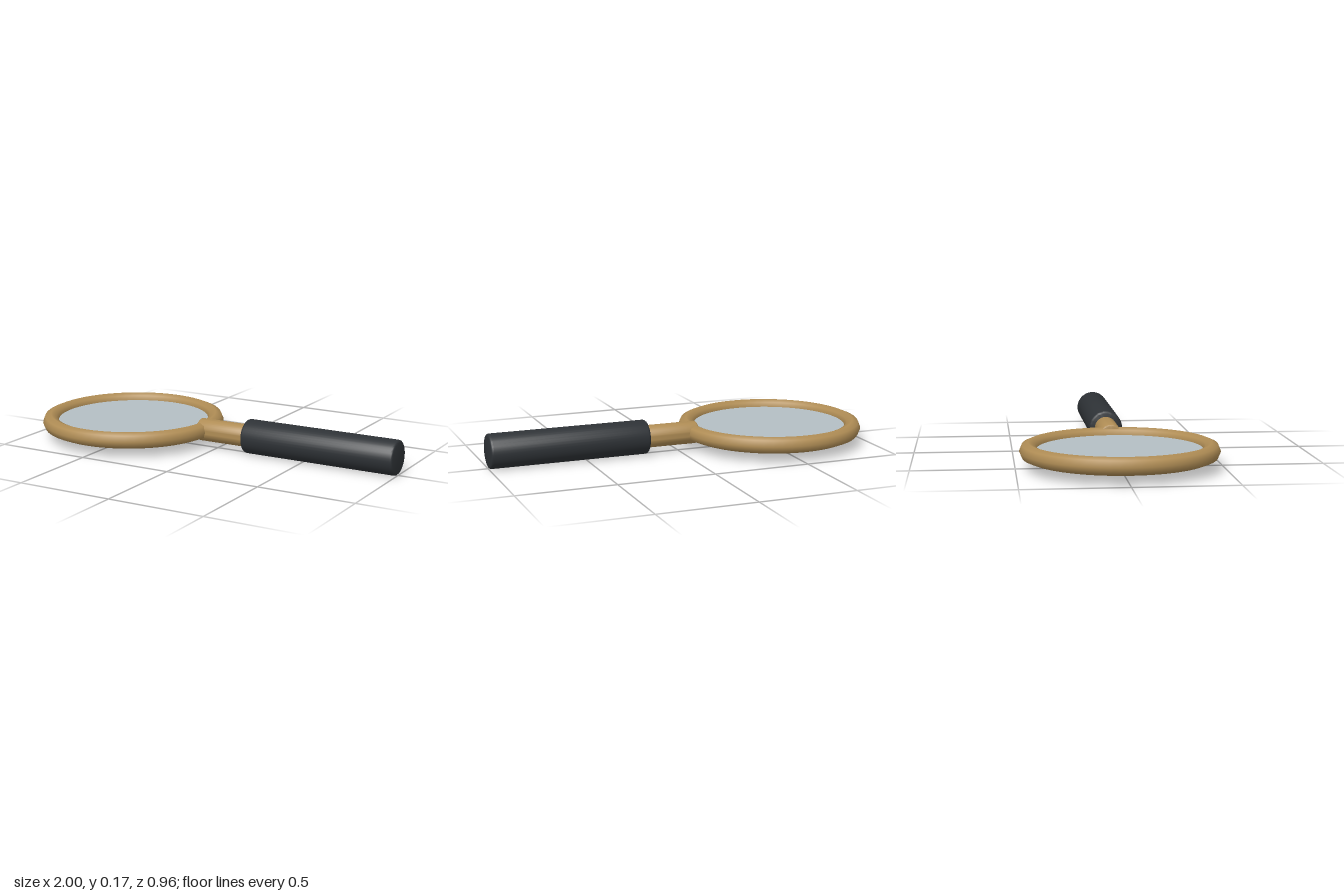
import * as THREE from 'three';
import { toCreasedNormals } from 'three/addons/utils/BufferGeometryUtils.js';

const AXIS_Y = 0.0875;
const LENS_X = -0.52;

const brass = new THREE.MeshStandardMaterial({ color: 0xb08d55 });
const grip = new THREE.MeshStandardMaterial({ color: 0x2e3236 });
const glass = new THREE.MeshStandardMaterial({ color: 0xb4bec4 });

// Round bar along x from x0 to x1 with small rounded edges at both ends
function roundBar(name, x0, x1, radius, bevel, material) {
  const length = x1 - x0;
  const profile = [new THREE.Vector2(0, 0)];
  for (let i = 0; i <= 3; i++) {
    const a = (i / 3) * Math.PI / 2;
    profile.push(new THREE.Vector2(radius - bevel + bevel * Math.sin(a), bevel - bevel * Math.cos(a)));
  }
  for (let i = 3; i >= 0; i--) {
    const a = (i / 3) * Math.PI / 2;
    profile.push(new THREE.Vector2(radius - bevel + bevel * Math.sin(a), length - bevel + bevel * Math.cos(a)));
  }
  profile.push(new THREE.Vector2(0, length));
  const geometry = toCreasedNormals(new THREE.LatheGeometry(profile, 40), 0.7);
  const mesh = new THREE.Mesh(geometry, material);
  mesh.name = name;
  mesh.rotation.z = -Math.PI / 2;
  mesh.position.set(x0, AXIS_Y, 0);
  return mesh;
}

export function createModel() {
  const model = new THREE.Group();
  model.name = 'magnifyingGlass';

  // Ring around the lens, lying flat
  const rim = new THREE.Mesh(new THREE.TorusGeometry(0.438, 0.043, 8, 64), brass);
  rim.name = 'rim';
  rim.rotation.x = -Math.PI / 2;
  rim.position.set(LENS_X, AXIS_Y, 0);
  model.add(rim);

  // Thin glass disc held inside the ring
  const lens = new THREE.Mesh(new THREE.CylinderGeometry(0.41, 0.41, 0.015, 64), glass);
  lens.name = 'lens';
  lens.position.set(LENS_X, AXIS_Y, 0);
  model.add(lens);

  // Neck runs from inside the ring into the handle
  model.add(roundBar('neck', -0.1, 0.2, 0.058, 0.008, brass));
  model.add(roundBar('handle', 0.175, 1, 0.0875, 0.012, grip));

  return model;
}
